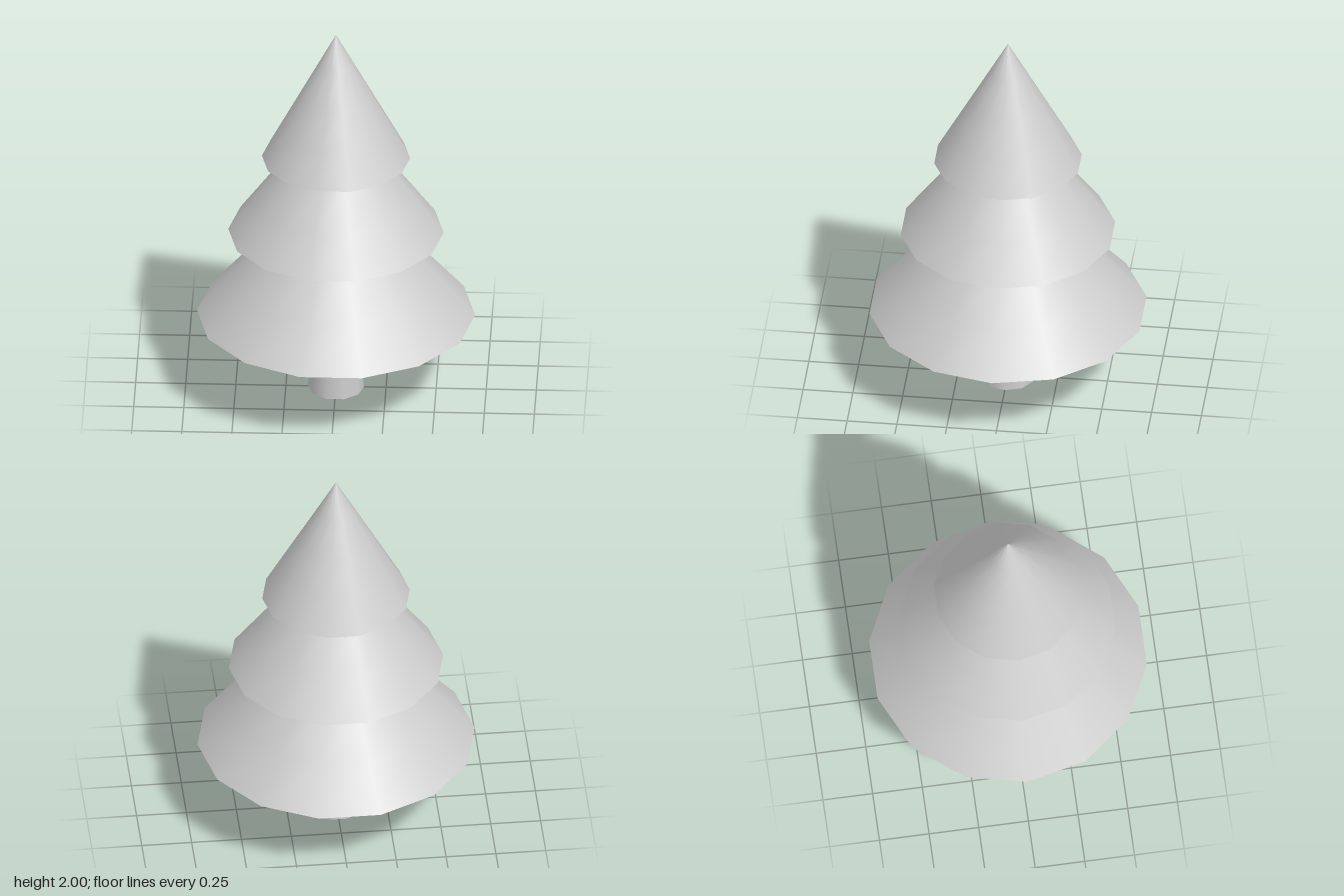
import * as THREE from 'three';

export function createModel() {
  const tree = new THREE.Group();
  tree.name = 'tree';

  const grey = new THREE.MeshStandardMaterial({ color: 0xcccccc });
  grey.name = 'grey';

  // Adds a geometry standing on height y, with a corner on the x axis
  function addPart(name, geometry, height, y) {
    geometry.rotateY(Math.PI / 2);
    geometry.translate(0, y + height / 2, 0);
    const mesh = new THREE.Mesh(geometry, grey);
    mesh.name = name;
    tree.add(mesh);
  }

  // Tapered ten-sided trunk, ending just inside the lowest tier
  addPart('trunk', new THREE.CylinderGeometry(0.114, 0.14, 0.44, 10), 0.44, 0);

  // Overlapping fourteen-sided foliage cones with flat undersides
  const tiers = [
    ['lowerFoliage', 0.695, 0.82, 0.42],
    ['middleFoliage', 0.538, 0.745, 0.885],
    ['upperFoliage', 0.37, 0.695, 1.305],
  ];
  for (const [name, radius, height, y] of tiers) {
    addPart(name, new THREE.ConeGeometry(radius, height, 14, 4), height, y);
  }

  return tree;
}
